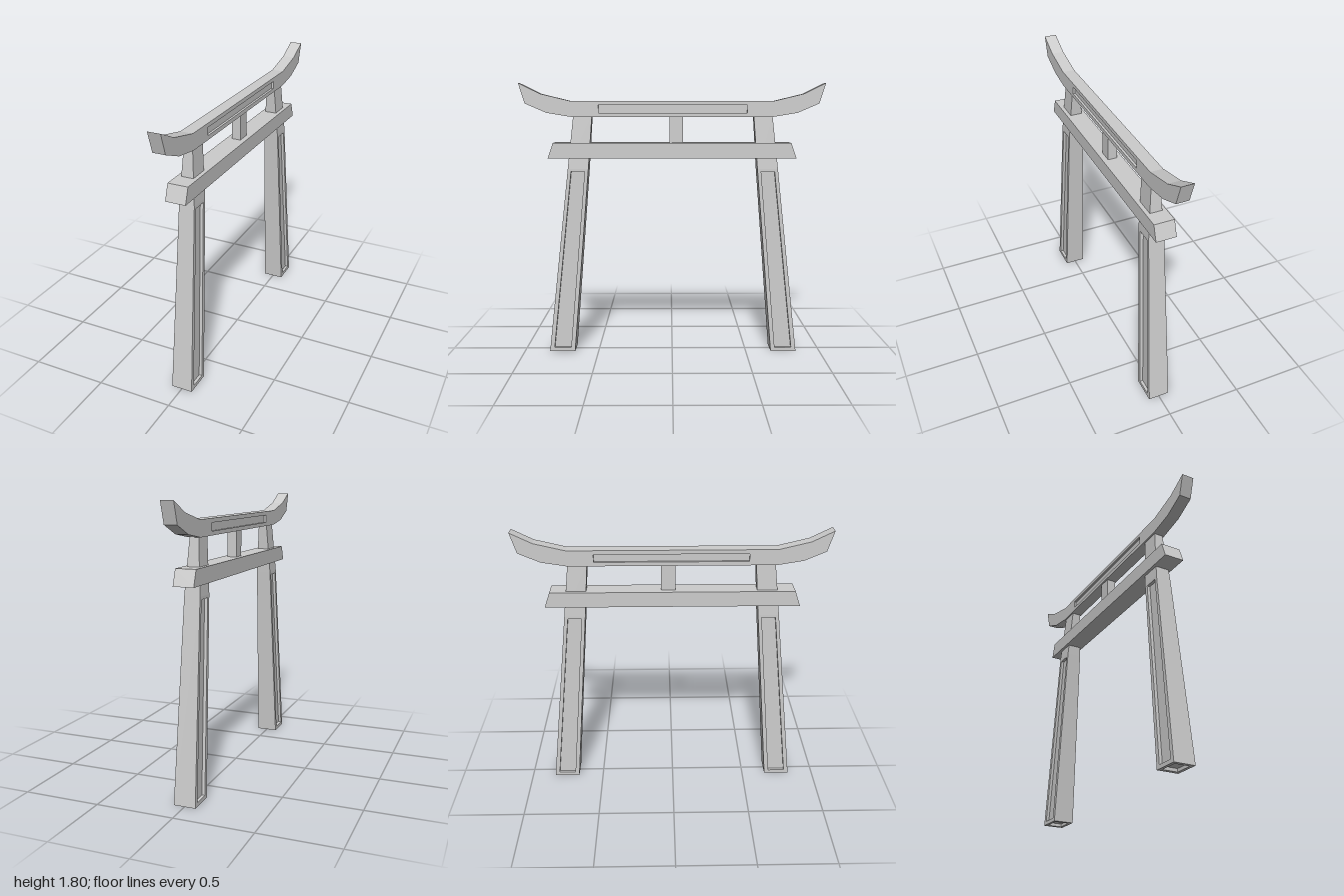
import * as THREE from 'three';

const material = new THREE.MeshStandardMaterial({ color: 0xcccccc });

// Skins four-cornered rings (counter-clockwise seen from the far end) into a solid.
// panel(segment, side) may return { u, v, depth } to sink a recess into that face;
// segment -1 is the cap of the first ring.
function loft(rings, panel = () => null) {
  const pos = [];
  const quad = (a, b, c, d) => {
    for (const p of [a, b, c, a, c, d]) pos.push(p.x, p.y, p.z);
  };
  const face = (c, p) => {
    if (!p) return quad(...c);
    const at = (u, v) => c[0].clone().lerp(c[1], u).lerp(c[3].clone().lerp(c[2], u), v);
    const [u0, u1] = p.u, [v0, v1] = p.v;
    const rim = [at(u0, v0), at(u1, v0), at(u1, v1), at(u0, v1)];
    const inward = c[1].clone().sub(c[0]).cross(c[3].clone().sub(c[0])).normalize().multiplyScalar(-p.depth);
    const floor = rim.map((q) => q.clone().add(inward));
    for (let i = 0; i < 4; i++) {
      const j = (i + 1) % 4;
      quad(c[i], c[j], rim[j], rim[i]);
      quad(rim[i], rim[j], floor[j], floor[i]);
    }
    quad(...floor);
  };
  for (let s = 0; s < rings.length - 1; s++) {
    const lo = rings[s], hi = rings[s + 1];
    for (let i = 0; i < 4; i++) {
      const j = (i + 1) % 4;
      face([lo[i], lo[j], hi[j], hi[i]], panel(s, i));
    }
  }
  face([...rings[0]].reverse(), panel(-1, 0));
  quad(...rings[rings.length - 1]);

  const geometry = new THREE.BufferGeometry();
  geometry.setAttribute('position', new THREE.Float32BufferAttribute(pos, 3));
  geometry.computeVertexNormals();
  return geometry;
}

const v3 = (x, y, z) => new THREE.Vector3(x, y, z);

// Horizontal ring of a leg
const legRing = ([y, h, outer, inner]) =>
  [v3(h, y, outer), v3(h, y, inner), v3(-h, y, inner), v3(-h, y, outer)];

// Upright ring of a beam running along z
const beamRing = (h) => ([zTop, yTop, zBottom, yBottom]) =>
  [v3(h, yBottom, zBottom), v3(h, yTop, zTop), v3(-h, yTop, zTop), v3(-h, yBottom, zBottom)];

export function createModel() {
  const group = new THREE.Group();
  const add = (name, geometry) => {
    const mesh = new THREE.Mesh(geometry, material);
    mesh.name = name;
    group.add(mesh);
    return mesh;
  };

  // Leaning, tapered legs with long sunken panels and a hollowed foot
  const legSections = [
    [0, 0.07, 0.835, 0.665],
    [1.24, 0.05, 0.692, 0.557],
    [1.59, 0.028, 0.652, 0.53],
  ];
  const legGeometry = loft(legSections.map(legRing), (segment, side) => {
    if (segment === -1) return { u: [0.15, 0.85], v: [0.15, 0.85], depth: 0.02 };
    if (segment === 0 && side % 2 === 0) return { u: [0.17, 0.83], v: [0.02, 0.985], depth: 0.02 };
    return null;
  });
  add('frontLeg', legGeometry).position.z = -0.005;
  const backLeg = add('backLeg', legGeometry);
  backLeg.rotation.y = Math.PI;
  backLeg.position.z = -0.005;

  // Upswept top beam with a sunken panel on both faces
  const half = [
    [0.66, 1.68, 0.655, 1.578],
    [0.86, 1.728, 0.82, 1.605],
    [1, 1.797, 0.96, 1.665],
  ];
  const stations = [
    ...half.map(([zt, yt, zb, yb]) => [-zt, yt, -zb, yb]).reverse(),
    ...half,
  ];
  add('topBeam', loft(stations.map(beamRing(0.04)), (segment, side) =>
    segment === 2 && side % 2 === 0 ? { u: [0.26, 0.75], v: [0.126, 0.866], depth: 0.015 } : null));

  // Tie beam with slanted ends
  add('tieBeam', loft([
    [-0.78, 1.41, -0.815, 1.31],
    [0.78, 1.41, 0.815, 1.31],
  ].map(beamRing(0.065))));

  // Short centre post between the beams
  const post = add('centrePost', new THREE.BoxGeometry(0.06, 0.19, 0.09));
  post.position.set(0, 1.495, -0.027);

  return group;
}
